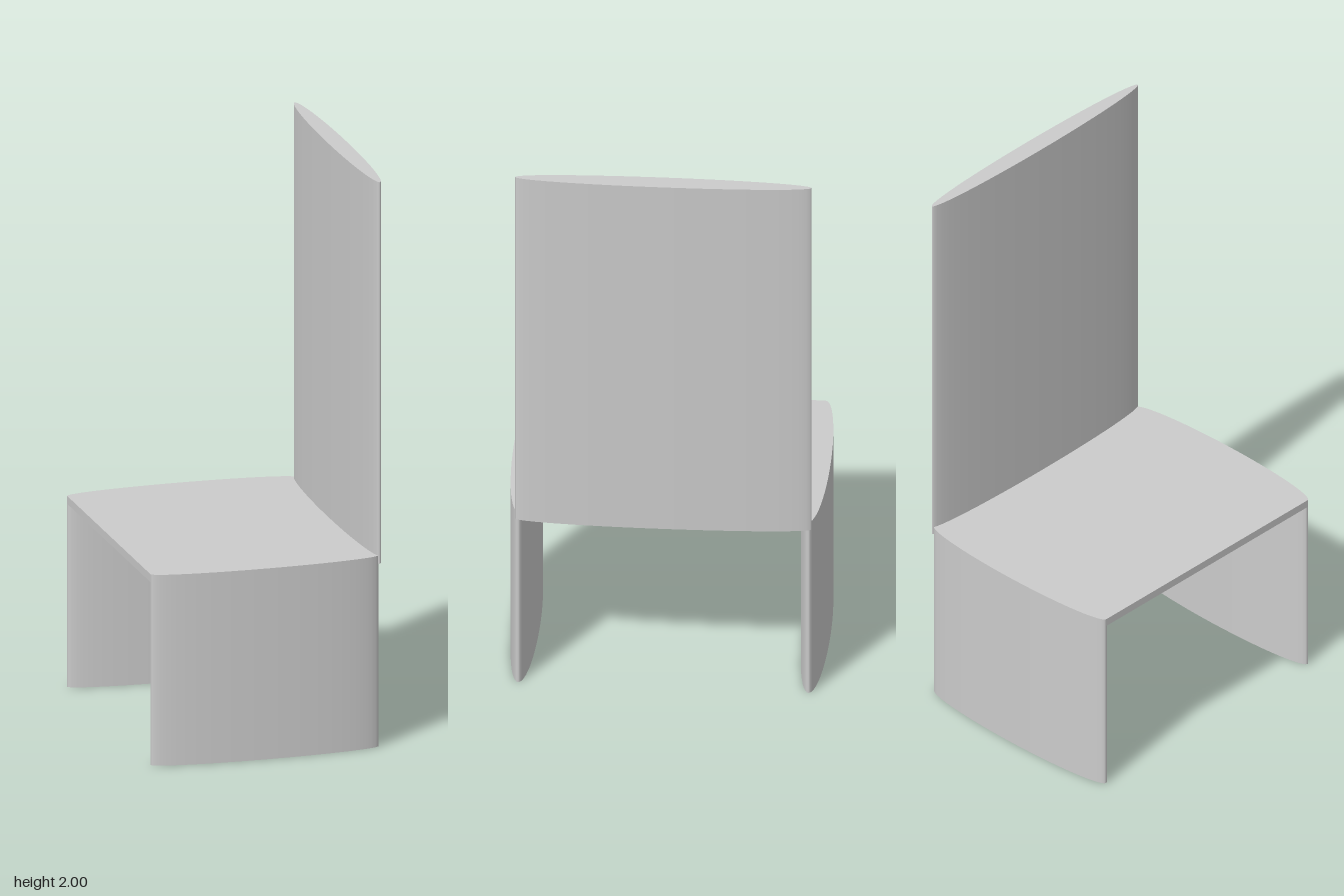
import * as THREE from 'three';

const material = new THREE.MeshStandardMaterial({ color: 0xcccccc });

// Upright panel with a lens-like elliptical cross-section
function ellipticPanel(name, rx, rz, y0, y1, x, z) {
  const geometry = new THREE.CylinderGeometry(1, 1, y1 - y0, 48);
  geometry.scale(rx, 1, rz);
  const mesh = new THREE.Mesh(geometry, material);
  mesh.name = name;
  mesh.position.set(x, (y0 + y1) / 2, z);
  return mesh;
}

export function createModel() {
  const chair = new THREE.Group();
  chair.name = 'chair';

  const seatX = -0.018, seatHalf = 0.405, seatTop = 0.676, seatBottom = 0.648;

  // Flat seat slab between the two side panels
  const seat = new THREE.Mesh(
    new THREE.BoxGeometry(seatHalf * 2, seatTop - seatBottom, 0.99), material);
  seat.name = 'seat';
  seat.position.set(seatX, (seatTop + seatBottom) / 2, 0);
  chair.add(seat);

  // Side panels serving as legs
  for (const [name, side] of [['frontLegPanel', 1], ['backLegPanel', -1]]) {
    chair.add(ellipticPanel(name, seatHalf, 0.047, 0, seatTop, seatX, side * 0.495));
  }

  // Tall backrest on the +x edge of the seat
  chair.add(ellipticPanel('backrest', 0.033, 0.506, seatBottom, 2, 0.388, 0));

  return chair;
}
